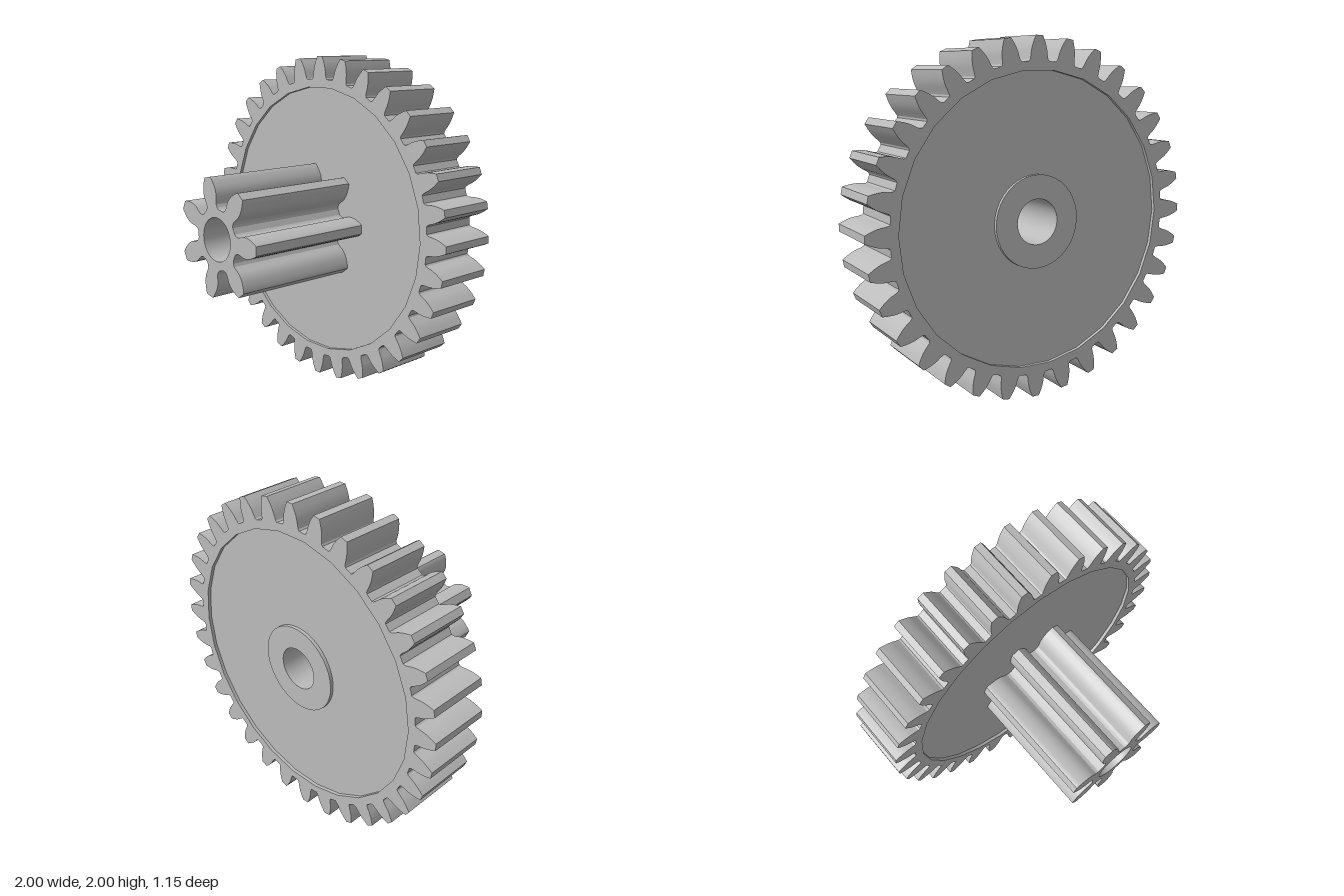
import * as THREE from 'three';
import { toCreasedNormals } from 'three/addons/utils/BufferGeometryUtils.js';

const BORE = 0.127;
const BACK = -0.575, WHEEL_FRONT = -0.2, PINION_FRONT = 0.575, RECESS = 0.02;

// Half tooth profiles, root to tip: [radius, half width]
const WHEEL_TOOTH = [[0.867, 0.064], [0.875, 0.057], [0.895, 0.053], [0.92, 0.05], [0.945, 0.044], [0.972, 0.034], [1, 0.021]];
const PINION_TOOTH = [[0.178, 0.062], [0.186, 0.052], [0.202, 0.047], [0.222, 0.051], [0.25, 0.06],
  [0.28, 0.06], [0.305, 0.054], [0.33, 0.043], [0.347, 0.034], [0.355, 0.026]];

// Points of a regular polygon with a corner on +x
function ring(radius, sides) {
  return Array.from({ length: sides }, (_, i) => {
    const a = (i / sides) * Math.PI * 2;
    return new THREE.Vector2(radius * Math.cos(a), radius * Math.sin(a));
  });
}

// Gear outline: the half profile mirrored and repeated around the axis
function gearOutline(teeth, profile) {
  const points = [];
  const add = (r, a) => points.push(new THREE.Vector2(r * Math.cos(a), r * Math.sin(a)));
  for (let i = 0; i < teeth; i++) {
    const centre = (i / teeth) * Math.PI * 2;
    for (const [r, w] of profile) add(r, centre - w / r);
    for (const [r, w] of [...profile].reverse()) add(r, centre + w / r);
  }
  return points;
}

export function createModel() {
  const model = new THREE.Group();
  model.name = 'compoundGear';
  const grey = new THREE.MeshStandardMaterial({ color: 0xbbbbbb });
  grey.name = 'grey';

  function addPart(name, outline, hole, back, front) {
    const shape = new THREE.Shape(outline);
    shape.holes.push(new THREE.Path(hole));
    const solid = new THREE.ExtrudeGeometry(shape, { depth: front - back, bevelEnabled: false });
    const mesh = new THREE.Mesh(toCreasedNormals(solid, 0.4), grey);
    mesh.name = name;
    mesh.position.set(0, 1, back);
    model.add(mesh);
  }

  const bore = ring(BORE, 40);
  // Large toothed rim around a slightly recessed web
  addPart('wheelRim', gearOutline(32, WHEEL_TOOTH), ring(0.82, 26), BACK, WHEEL_FRONT);
  addPart('wheelWeb', ring(0.84, 26), bore, BACK + RECESS, WHEEL_FRONT - RECESS);
  // Raised collar at the back
  addPart('backHub', ring(0.26, 40), bore, BACK, BACK + RECESS);
  // Small gear at the front
  addPart('pinion', gearOutline(7, PINION_TOOTH), bore, WHEEL_FRONT - RECESS, PINION_FRONT);

  return model;
}
